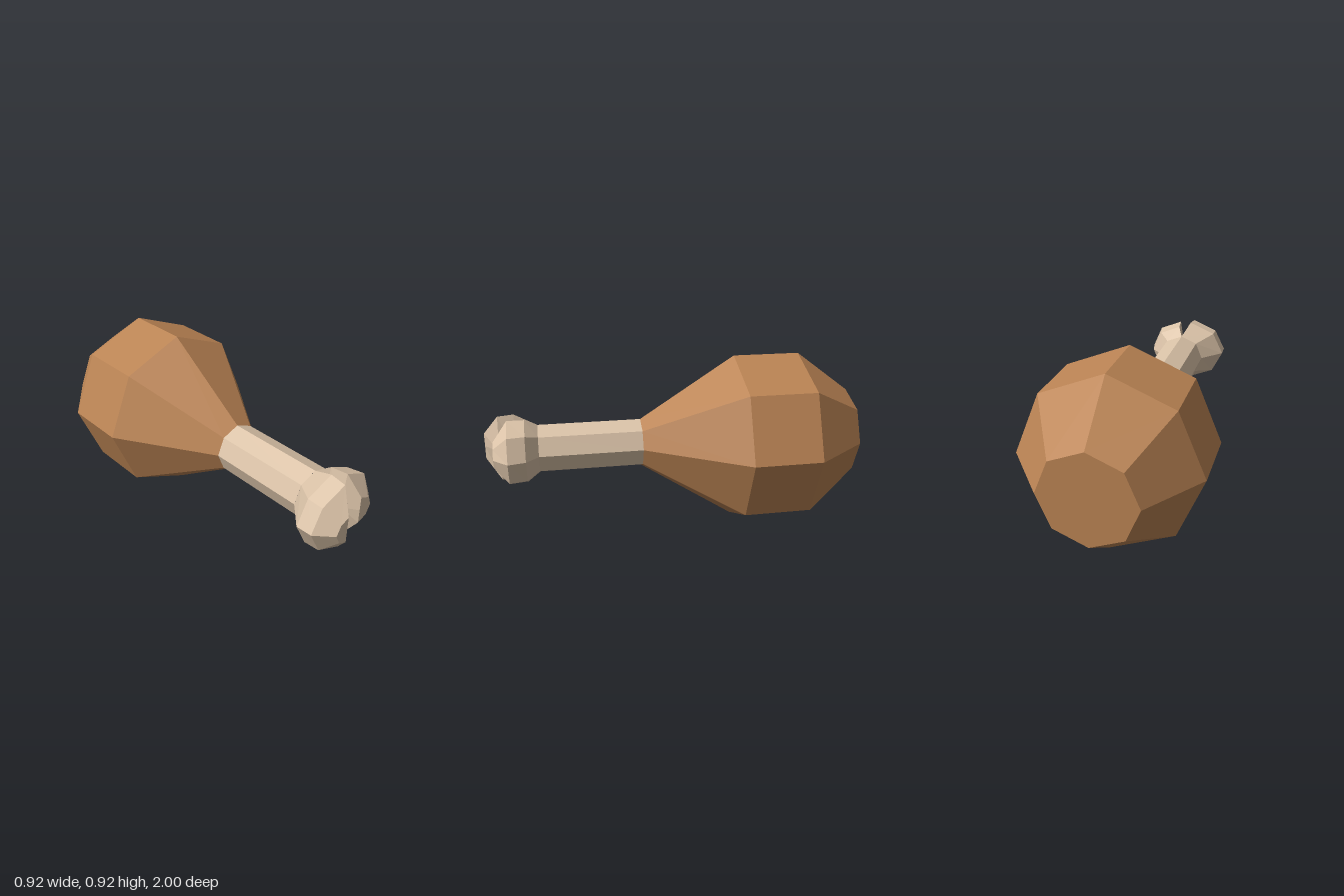
import * as THREE from 'three';

const MID = 0.465; // height of the long axis

// Skins rings of [x, y] points (counter-clockwise seen from +z), ordered from back to front
function loft(rings, zs, capBack, capFront) {
  const pos = [];
  const put = (r, i) => pos.push(rings[r][i][0], rings[r][i][1], zs[r]);
  const n = rings[0].length, last = rings.length - 1;
  for (let r = 0; r < last; r++) {
    for (let i = 0; i < n; i++) {
      const j = (i + 1) % n;
      put(r, i); put(r, j); put(r + 1, j);
      put(r, i); put(r + 1, j); put(r + 1, i);
    }
  }
  for (let i = 1; i < n - 1; i++) {
    if (capBack) { put(0, 0); put(0, i + 1); put(0, i); }
    if (capFront) { put(last, 0); put(last, i); put(last, i + 1); }
  }
  const g = new THREE.BufferGeometry();
  g.setAttribute('position', new THREE.Float32BufferAttribute(pos, 3));
  g.computeVertexNormals();
  return g;
}

const octagon = (radius, cx) => Array.from({ length: 8 }, (_, i) => {
  const a = i * Math.PI / 4;
  return [cx + radius * Math.cos(a), MID + radius * Math.sin(a)];
});

// Six-sided half-octagon section, symmetric about the axis height
function knobRing([topX, topH, diagX, diagH, outerX, innerX], side) {
  const ring = [
    [topX, MID + topH], [diagX, MID + diagH], [outerX, MID],
    [diagX, MID - diagH], [topX, MID - topH], [innerX, MID],
  ];
  return side > 0 ? ring.reverse() : ring;
}

export function createModel() {
  const group = new THREE.Group();
  const meat = new THREE.MeshStandardMaterial({ color: 0xbb8454, flatShading: true });
  meat.name = 'roasted brown';
  const bone = new THREE.MeshStandardMaterial({ color: 0xdcc4a9, flatShading: true });
  bone.name = 'bone cream';

  const add = (name, geometry, material) => {
    const mesh = new THREE.Mesh(geometry, material);
    mesh.name = name;
    group.add(mesh);
  };

  // Meat: bulging eight-sided body with a flat back
  add('meat', loft(
    [octagon(0.24, -0.007), octagon(0.462, 0), octagon(0.462, 0), octagon(0.132, -0.01)],
    [-1, -0.7, -0.34, 0.17], true, true), meat);

  // Bone shaft
  add('boneShaft', loft([octagon(0.132, -0.01), octagon(0.132, -0.01)], [0.17, 0.715], false, false), bone);

  // Knobs: each grows out of one half of the shaft end
  // Section values: top x, top height, diagonal x, diagonal height, outer x, inner x
  const right = [
    [-0.01, 0.132, -0.103, 0.093, -0.142, -0.01],
    [-0.04, 0.187, -0.19, 0.125, -0.253, -0.005],
    [-0.045, 0.178, -0.188, 0.12, -0.25, 0.003],
    [-0.1, 0.07, -0.147, 0.05, -0.172, -0.1],
  ];
  const left = [
    [-0.01, 0.132, 0.083, 0.093, 0.122, -0.01],
    [0.022, 0.172, 0.14, 0.12, 0.19, 0.003],
    [0.032, 0.176, 0.16, 0.122, 0.21, 0.003],
    [0.055, 0.073, 0.108, 0.05, 0.132, 0.055],
  ];
  add('rightKnob', loft(right.map(r => knobRing(r, -1)), [0.715, 0.835, 0.92, 1], false, true), bone);
  add('leftKnob', loft(left.map(r => knobRing(r, 1)), [0.715, 0.78, 0.87, 0.945], false, true), bone);

  return group;
}
